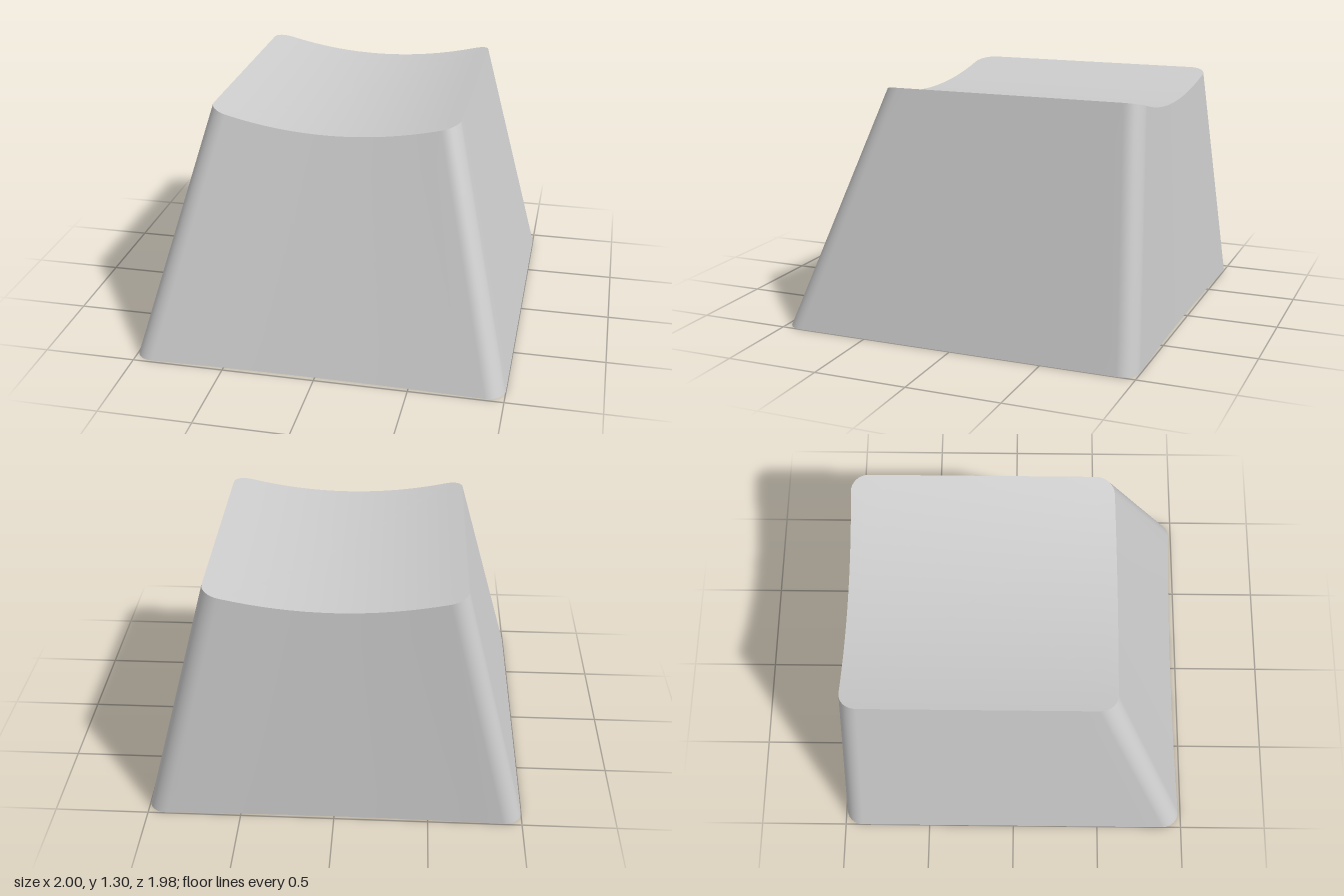
import * as THREE from 'three';

const HEIGHT = 1.3;      // height of the raised side edges
const DIP = 0.095;       // depth of the scooped top
const WALL = 0.115, CEILING = 0.14;
const BOW = 0.02;        // inward bow of front and back walls
const STEM_Z = 0.04, STEM_Y = 0.2;

const dish = (x) => HEIGHT - DIP + DIP * (x / 0.665) ** 2;

// Rounded rectangle with bowed front and back, as [x, z] points
function outline(hx, zBack, zFront, r) {
  const zc = (zFront + zBack) / 2, hz = (zFront - zBack) / 2;
  const corners = [];
  [[1, 1], [-1, 1], [-1, -1], [1, -1]].forEach(([sx, sz], q) => {
    const arc = [];
    for (let i = 0; i <= 8; i++) {
      const a = (q + i / 8) * Math.PI / 2;
      arc.push([sx * (hx - r) + r * Math.cos(a), sz * (hz - r) + r * Math.sin(a)]);
    }
    corners.push(arc);
  });
  const pts = [];
  corners.forEach((arc, q) => {
    pts.push(...arc);
    const a = arc[8], b = corners[(q + 1) % 4][0];
    for (let i = 1; i < 16; i++) {
      pts.push([a[0] + (b[0] - a[0]) * i / 16, a[1] + (b[1] - a[1]) * i / 16]);
    }
  });
  return pts.map(([x, z]) => [x, zc + z - (z / hz) * BOW * (1 - (x / hx) ** 2)]);
}

// Tapered wall from the base up to the scooped surface, lowered by drop
function taperedWall(inset, drop, steps = 8) {
  const r = 0.1 - inset * 0.1;
  const base = outline(1 - inset, -1 + inset, 0.99 - inset, r);
  const top = outline(0.665 - inset, -0.905 + inset, 0.535 - inset, r);
  const at = (i, y) => {
    const t = y / HEIGHT, a = base[i], b = top[i];
    return new THREE.Vector3(a[0] + (b[0] - a[0]) * t, y, a[1] + (b[1] - a[1]) * t);
  };
  const rimY = base.map((_, i) => {
    let y = HEIGHT - drop;
    for (let k = 0; k < 12; k++) y = dish(at(i, y).x) - drop;
    return y;
  });
  const rows = [];
  for (let s = 0; s <= steps; s++) rows.push(base.map((_, i) => at(i, rimY[i] * s / steps)));
  return rows;
}

// Scooped surface filling the given edge with shrinking rings
function scoopedRows(edge, drop, steps = 10) {
  const zc = -0.18, rows = [];
  for (let s = 0; s <= steps; s++) {
    const k = 1 - s / steps;
    rows.push(edge.map((p) => new THREE.Vector3(p.x * k, dish(p.x * k) - drop, zc + (p.z - zc) * k)));
  }
  return rows;
}

// Skin a stack of closed rings
function loft(rows) {
  const n = rows[0].length, pos = [], idx = [];
  rows.forEach((row) => row.forEach((p) => pos.push(p.x, p.y, p.z)));
  for (let s = 0; s < rows.length - 1; s++) {
    for (let i = 0; i < n; i++) {
      const j = (i + 1) % n, a = s * n + i, a2 = s * n + j;
      idx.push(a, a + n, a2, a2, a + n, a2 + n);
    }
  }
  const g = new THREE.BufferGeometry();
  g.setAttribute('position', new THREE.Float32BufferAttribute(pos, 3));
  g.setIndex(idx);
  g.computeVertexNormals();
  return g;
}

// Round post with four small diagonal grooves and a cross-shaped socket
function stemGeometry() {
  const R = 0.3, d = 0.12, pts = [];
  for (let q = 0; q < 4; q++) {
    const start = Math.PI / 4 + q * Math.PI / 2;
    const end = start + Math.PI / 2;
    pts.push(new THREE.Vector2(0.26 * Math.cos(start + d), 0.26 * Math.sin(start + d)));
    for (let i = 0; i <= 8; i++) {
      const a = start + d + (end - start - 2 * d) * i / 8;
      pts.push(new THREE.Vector2(R * Math.cos(a), R * Math.sin(a)));
    }
    pts.push(new THREE.Vector2(0.26 * Math.cos(end - d), 0.26 * Math.sin(end - d)));
  }
  const shape = new THREE.Shape(pts);
  const L = 0.225, w = 0.07;
  const cross = [];
  for (let q = 0; q < 4; q++) {
    [[L, -w], [L, w], [w, w]].forEach(([x, y]) =>
      cross.push(new THREE.Vector2(x, y).rotateAround(new THREE.Vector2(), q * Math.PI / 2)));
  }
  shape.holes.push(new THREE.Path(cross));
  const g = new THREE.ExtrudeGeometry(shape, { depth: 1.12 - STEM_Y, bevelEnabled: false });
  return g.rotateX(-Math.PI / 2).translate(0, STEM_Y, STEM_Z);
}

export function createModel() {
  const group = new THREE.Group();
  const material = new THREE.MeshStandardMaterial({ color: 0xcccccc });
  const add = (name, geometry) => {
    const mesh = new THREE.Mesh(geometry, material);
    mesh.name = name;
    group.add(mesh);
    return mesh;
  };

  // Shell: outside, inside and the rim that joins them
  const outer = taperedWall(0, 0);
  const inner = taperedWall(WALL, CEILING);
  add('outerWall', loft(outer));
  add('scoopedTop', loft(scoopedRows(outer[outer.length - 1], 0)));
  add('innerWall', loft([...inner].reverse()));
  add('ceiling', loft(scoopedRows(inner[inner.length - 1], CEILING).reverse()));
  add('bottomRim', loft([inner[0], outer[0]]));

  // Socket post
  add('stem', stemGeometry());

  // Support bars from the post to the walls
  const y0 = 0.82, y1 = 1.1, w = 0.08;
  const bar = (name, x0, x1, z0, z1) => {
    const g = new THREE.BoxGeometry(x1 - x0, y1 - y0, z1 - z0);
    add(name, g.translate((x0 + x1) / 2, (y0 + y1) / 2, (z0 + z1) / 2));
  };
  bar('leftSupportBar', 0.28, 0.69, STEM_Z - w / 2, STEM_Z + w / 2);
  bar('rightSupportBar', -0.69, -0.28, STEM_Z - w / 2, STEM_Z + w / 2);
  bar('frontSupportBar', -w / 2, w / 2, STEM_Z + 0.28, 0.58);
  bar('backSupportBar', -w / 2, w / 2, -0.84, STEM_Z - 0.28);

  return group;
}
